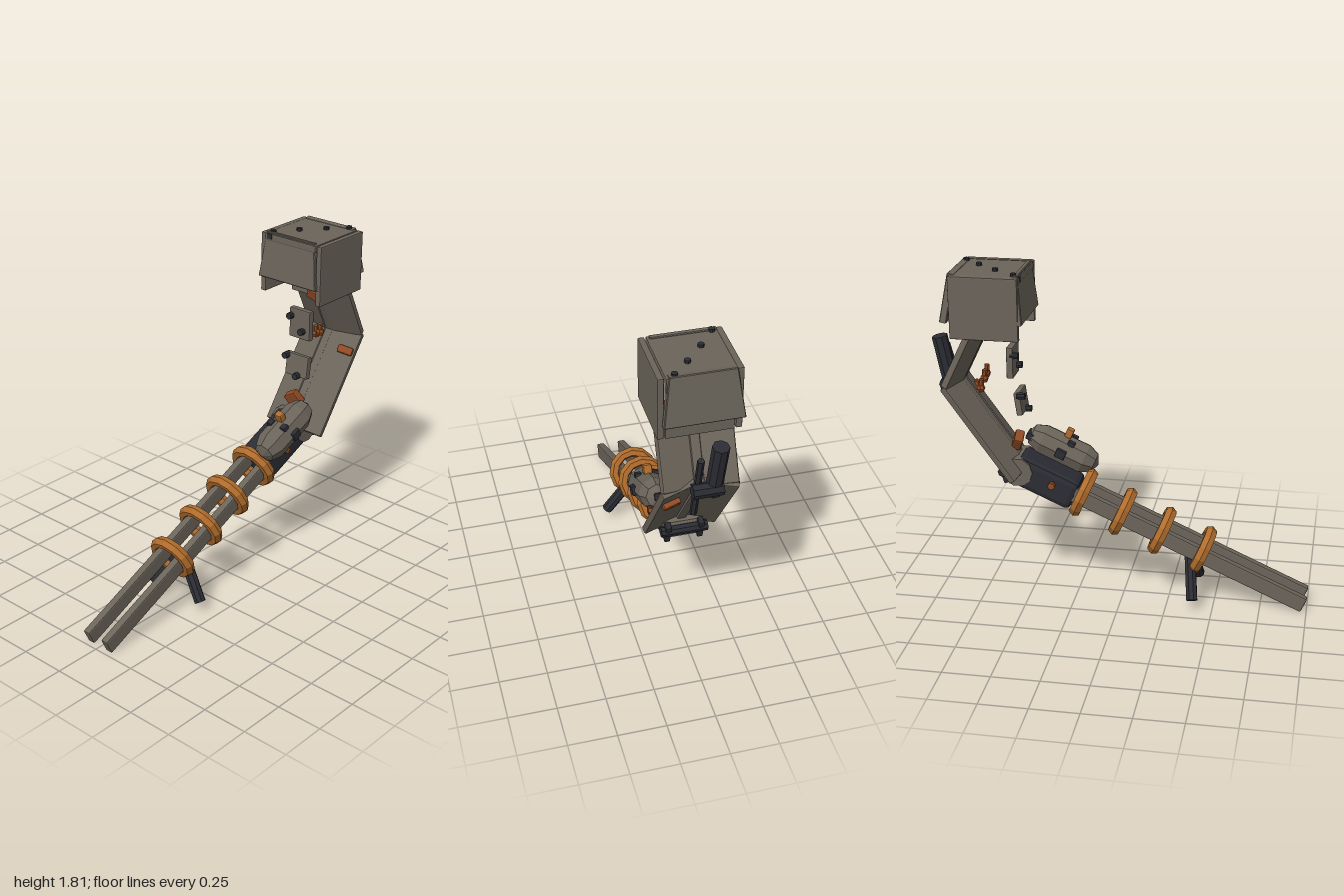
import * as THREE from 'three';
import { RoundedBoxGeometry } from 'three/addons/geometries/RoundedBoxGeometry.js';

const paint = (color) => new THREE.MeshStandardMaterial({ color, flatShading: true });
const steel = paint(0x6b645a), dark = paint(0x2c2d34), copper = paint(0xb06c2c), rust = paint(0x8f4a24);

export function createModel() {
  const model = new THREE.Group();

  const add = (name, geometry, material, pos, rot = [0, 0, 0], parent = model) => {
    const mesh = new THREE.Mesh(geometry, material);
    mesh.name = name;
    mesh.position.set(...pos);
    mesh.rotation.set(...rot);
    parent.add(mesh);
    return mesh;
  };
  const box = (name, size, material, pos, rot, parent) =>
    add(name, new RoundedBoxGeometry(...size, 1, Math.min(...size) * 0.18), material, pos, rot, parent);
  // Cylinder between two points
  const rod = (name, a, b, r, material, sides = 8) => {
    const p = new THREE.Vector3(...a), q = new THREE.Vector3(...b);
    const mesh = add(name, new THREE.CylinderGeometry(r, r, p.distanceTo(q), sides), material,
      p.clone().add(q).multiplyScalar(0.5).toArray());
    mesh.quaternion.setFromUnitVectors(new THREE.Vector3(0, 1, 0), q.sub(p).normalize());
  };

  // Twin rails, sloping up to the back
  const slope = 0.42;
  const railPoint = (z) => [0, 0.043 + (0.984 - z) * Math.tan(slope), z];
  for (const s of [-1, 1]) {
    const [, y, z] = railPoint(0.335);
    box('rail', [0.043, 0.086, 1.425], steel, [s * 0.064, y, z], [slope, 0, 0]);
  }

  // Coil rings around the rails
  for (const z of [0.426, 0.206, -0.008, -0.222]) {
    const ring = add('coilRing', new THREE.TorusGeometry(0.11, 0.029, 6, 12), copper, railPoint(z), [slope, 0, 0]);
    ring.scale.z = 1.15;
  }

  // Bipod
  for (const s of [-1, 1]) {
    rod('bipodLeg', [s * 0.02, 0.285, 0.362], [s * 0.165, 0.067, 0.394], 0.031, dark);
  }
  add('bipodHub', new THREE.SphereGeometry(0.036, 8, 5), dark, [0, 0.28, 0.36]);
  add('bipodPin', new THREE.SphereGeometry(0.02, 6, 4), copper, [0, 0.25, 0.38]);

  // Receiver block with rear boss, cross pin and fittings
  box('receiver', [0.19, 0.17, 0.36], dark, [0, 0.655, -0.42], [slope, 0, 0]);
  rod('rearBoss', [-0.1, 0.715, -0.56], [0.1, 0.715, -0.56], 0.08, steel, 10);
  rod('rearPin', [-0.12, 0.72, -0.635], [0.12, 0.72, -0.635], 0.028, dark);
  for (const s of [-1, 1]) {
    box('rearLug', [0.03, 0.12, 0.045], dark, [s * 0.085, 0.71, -0.63], [-0.3, 0, 0]);
    rod('sideStud', [s * 0.08, 0.655, -0.375], [s * 0.12, 0.655, -0.375], 0.02, rust, 6);
  }
  box('underStud', [0.05, 0.04, 0.05], rust, [0, 0.578, -0.44], [slope, 0, 0]);

  // Capsule tank beside the receiver
  const tank = new THREE.Group();
  tank.name = 'tank';
  tank.position.set(0.107, 0.785, -0.352);
  tank.rotation.x = slope;
  model.add(tank);
  add('tankShell', new THREE.CapsuleGeometry(0.084, 0.25, 2, 8).rotateX(Math.PI / 2), steel, [0, 0, 0], [0, 0, 0], tank);
  box('tankCap', [0.045, 0.05, 0.04], copper, [0, 0.1, -0.005], [0, 0, 0], tank);
  for (const s of [-1, 1]) {
    box('tankClip', [0.03, 0.05, 0.055], dark, [s * 0.08, 0, 0], [0, 0, 0], tank);
    box('tankTopClip', [0.035, 0.04, 0.04], dark, [s * 0.045, 0.06, 0.03], [0, 0, 0], tank);
  }
  box('tankFoot', [0.08, 0.04, 0.06], dark, [-0.02, 0, -0.18], [0, 0, 0], tank);
  box('mountWedge', [0.08, 0.085, 0.05], rust, [-0.005, 0.865, -0.575], [0.3, 0.2, 0.5]);

  // Bent neck: two segments of folded plates with a spine
  const neckSegment = (name, pos, tilt, length) => {
    const g = new THREE.Group();
    g.name = name;
    g.position.set(...pos);
    g.rotation.x = tilt;
    model.add(g);
    for (const s of [-1, 1]) {
      box('neckPlate', [0.175, length, 0.038], steel, [s * 0.104, 0, 0], [0, s * 0.27, 0], g);
    }
    box('neckSpine', [0.05, length * 0.98, 0.05], steel, [0, 0, 0.012], [0, 0, 0], g);
  };
  neckSegment('lowerNeck', [0.005, 0.955, -0.73], -0.62, 0.62);
  neckSegment('upperNeck', [0.005, 1.37, -0.815], 0.45, 0.4);

  // Rear piston, hinge and strut at the bend
  rod('piston', [-0.075, 1.45, -0.96], [-0.06, 1.15, -0.905], 0.042, dark);
  rod('bendHinge', [-0.1, 1.19, -0.93], [0.05, 1.19, -0.93], 0.038, dark);
  rod('strut', [0.016, 1.38, -0.95], [0.02, 1.0, -0.855], 0.018, dark, 6);

  // Rust clamp through the plate and small valves on the neck
  box('clamp', [0.09, 0.045, 0.08], rust, [0.138, 1.1, -0.85], [-0.62, 0.27, 0]);
  for (const [x, y, z] of [[-0.055, 1.165, -0.755], [0, 1.2, -0.75], [0.03, 1.22, -0.745]]) {
    add('valve', new THREE.SphereGeometry(0.024, 6, 4), rust, [x, y, z]);
    rod('valveStem', [x, y, z], [x, y + 0.05, z + 0.005], 0.014, rust, 6);
  }

  // Small floating plates in front of the neck, each with bolts
  const plates = [
    [[0.14, 0.17, 0.036], [0.015, 1.31, -0.597], 0, [[-0.04, 1.35], [0.04, 1.275]]],
    [[0.15, 0.125, 0.034], [0.03, 1.08, -0.56], -0.14, [[-0.04, 1.128], [0.045, 1.03]]],
    [[0.17, 0.1, 0.036], [0.005, 1.525, -0.64], 0, [[0, 1.56]]],
  ];
  for (const [size, pos, tilt, bolts] of plates) {
    box('frontPlate', size, steel, pos, [tilt, 0, 0]);
    for (const [x, y] of bolts) {
      const z = pos[2] + (y - pos[1]) * tilt;
      rod('plateBolt', [x, y, z], [x, y, z + 0.045], 0.019, dark);
    }
  }
  box('chinTag', [0.09, 0.055, 0.04], rust, [0.083, 1.483, -0.625], [0.3, 0, -0.35]);

  // Hooded head: roof, side panels, flared front and back panels
  const head = new THREE.Group();
  head.name = 'head';
  model.add(head);
  box('roof', [0.34, 0.04, 0.37], steel, [-0.005, 1.785, -0.692], [0, 0, 0], head);
  for (const s of [-1, 1]) {
    box('sidePanel', [0.032, 0.33, 0.36], steel, [s * 0.187, 1.64, -0.69], [0, 0, 0], head);
  }
  const flare = new THREE.Shape([[-0.19, -0.245], [0.19, -0.245], [0.157, 0], [-0.157, 0]]
    .map(([x, y]) => new THREE.Vector2(x, y)));
  const flarePanel = (depth) =>
    new THREE.ExtrudeGeometry(flare, { depth, bevelSize: 0.004, bevelThickness: 0.004, bevelSegments: 1 });
  add('frontPanel', flarePanel(0.018), steel, [-0.01, 1.808, -0.536], [-0.1, 0, 0], head);
  add('backPanel', flarePanel(0.03), steel, [-0.01, 1.803, -0.845], [0.17, Math.PI, 0], head);
  box('innerBack', [0.33, 0.32, 0.025], steel, [0, 1.635, -0.86], [0, 0, 0], head);

  // Roof bolts and corner sensor
  for (const [x, z] of [[0.12, -0.855], [0.035, -0.765], [-0.06, -0.655], [-0.145, -0.54]]) {
    rod('roofBolt', [x, 1.78, z], [x, 1.82, z], 0.016, dark);
  }
  box('sensor', [0.035, 0.03, 0.02], dark, [-0.145, 1.79, -0.515]);

  return model;
}
